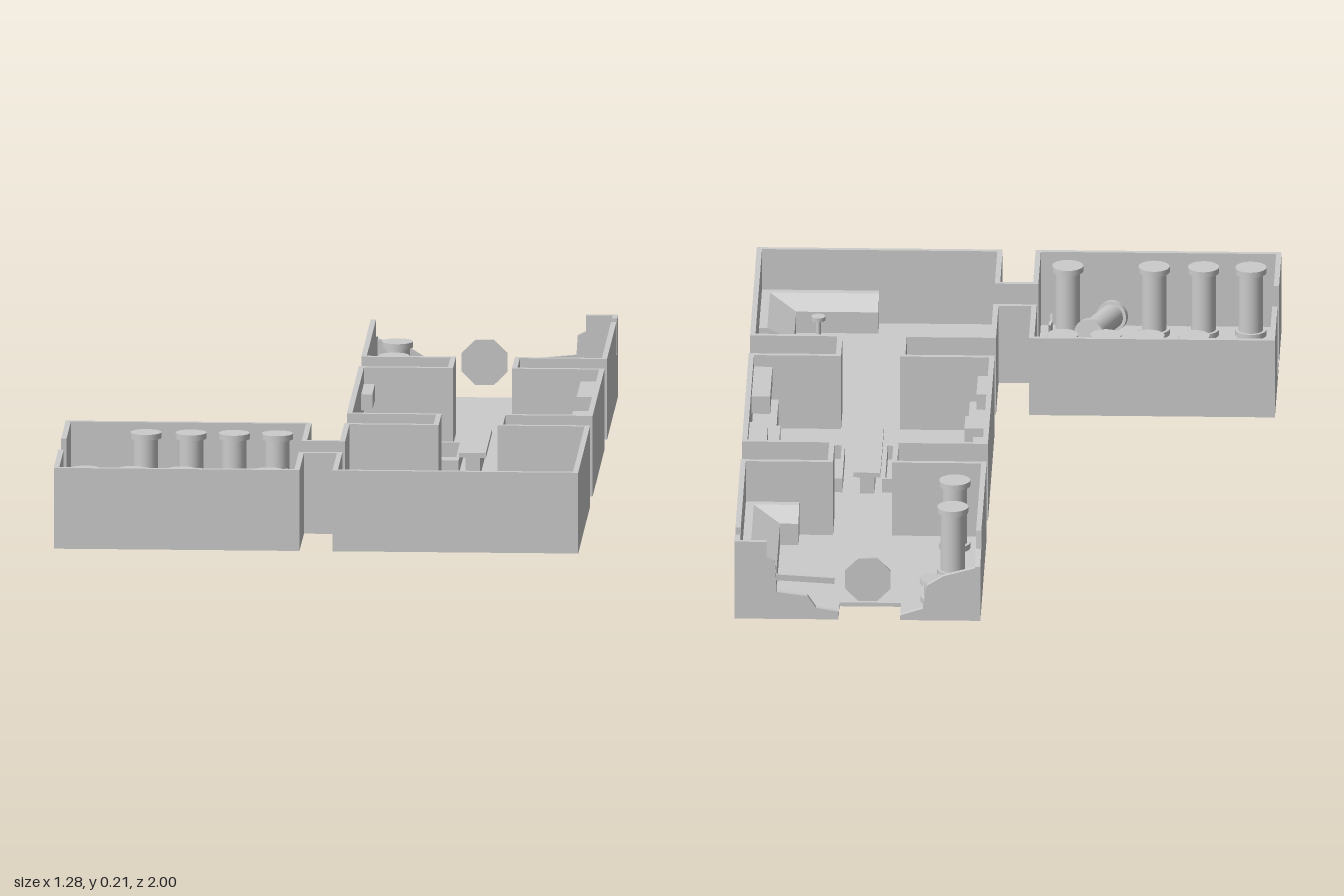
import * as THREE from 'three';

const FLOOR = 0.01, TOP = 0.2, T = 0.013;
const mat = new THREE.MeshStandardMaterial({ color: 0xcccccc });

export function createModel() {
  const model = new THREE.Group();
  model.name = 'roomComplex';

  const add = (name, geo, parent = model) => {
    const m = new THREE.Mesh(geo, mat);
    m.name = name;
    parent.add(m);
    return m;
  };
  // Box given by its limits on each axis
  const box = (name, x0, x1, y0, y1, z0, z1, parent) => {
    const m = add(name, new THREE.BoxGeometry(x1 - x0, y1 - y0, z1 - z0), parent);
    m.position.set((x0 + x1) / 2, (y0 + y1) / 2, (z0 + z1) / 2);
    return m;
  };
  const cyl = (name, r, h, x, y, z, parent, sides = 24) => {
    const m = add(name, new THREE.CylinderGeometry(r, r, h, sides), parent);
    m.position.set(x, y + h / 2, z);
    return m;
  };

  // Walls running along one axis, split by an optional [from, to] gap
  const spans = (a, b, gap) => (gap ? [[a, gap[0]], [gap[1], b]] : [[a, b]]);
  const wallX = (z, a, b, gap) => spans(a, b, gap).forEach(([p, q]) => box('wall', p, q, 0, TOP, z, z + T));
  const wallZ = (x, a, b, gap) => spans(a, b, gap).forEach(([p, q]) => box('wall', x, x + T, 0, TOP, p, q));

  // Rooms
  const X0 = 0.04, X1 = 0.638;
  const doorX = [0.27, 0.413], doorZ = [0.63, 0.768];
  const room = (x0, x1, z0, z1, { n, s, e, w }) => {
    box('floor', x0, x1, 0, FLOOR, z0, z1);
    wallX(z0, x0, x1, n);
    wallX(z1 - T, x0, x1, s);
    wallZ(x1 - T, z0 + T, z1 - T, e);
    wallZ(x0, z0 + T, z1 - T, w);
  };
  room(-0.638, -X0, 0.4, 1, { e: doorZ, w: [0.63, 0.77] });
  room(X0, X1, 0.4, 1, { n: doorX, w: doorZ });
  room(X0, X1, -0.32, 0.28, { n: doorX, s: doorX });

  // Corridors
  for (const [z0, z1] of [[0.28, 0.4], [-0.44, -0.32]]) {
    box('corridorFloor', 0.257, 0.426, 0, FLOOR, z0, z1);
    wallZ(0.257, z0, z1);
    wallZ(0.413, z0, z1);
  }
  box('corridorFloor', -X0, X0, 0, FLOOR, 0.617, 0.781);
  wallX(0.617, -X0, X0);
  wallX(0.768, -X0, X0);

  // Ruined back room: notched floor and broken walls
  box('floor', X0, X1, 0, FLOOR, -0.91, -0.44);
  box('floor', X0, 0.235, 0, FLOOR, -1, -0.91);
  box('floor', 0.385, X1, 0, FLOOR, -1, -0.91);
  wallX(-0.44 - T, X0, X1, doorX);
  const brokenWall = (points) => {
    const shape = new THREE.Shape(points.map(([u, v]) => new THREE.Vector2(u, v)));
    return new THREE.ExtrudeGeometry(shape, { depth: T, bevelEnabled: false });
  };
  add('brokenBackWall', brokenWall([[X0, 0], [0.235, 0], [0.235, 0.012], [0.18, 0.03], [0.17, 0.09],
    [0.13, 0.115], [X0, 0.14]])).position.z = -1;
  add('brokenBackWall', brokenWall([[0.385, 0], [X1, 0], [X1, TOP], [0.56, TOP], [0.56, 0.16], [0.54, 0.15],
    [0.535, 0.07], [0.46, 0.06], [0.44, 0.03], [0.385, 0.02]])).position.z = -1;
  const sideWall = (x, pts) => {
    const geo = brokenWall(pts.map(([z, y]) => [-z, y]).reverse());
    geo.rotateY(Math.PI / 2);
    add('brokenSideWall', geo).position.x = x;
  };
  sideWall(X1 - T, [[-1, 0], [-0.44, 0], [-0.44, TOP], [-0.905, TOP], [-0.905, 0.115], [-0.95, 0.115],
    [-0.95, TOP], [-1, TOP]]);
  sideWall(X0, [[-1, 0], [-0.44, 0], [-0.44, TOP], [-0.91, TOP], [-0.915, 0.155], [-0.95, 0.15], [-1, 0.14]]);

  // Blown-out hatch disc and loose bar in the breach
  const hatch = cyl('hatchDisc', 0.06, 0.006, 0.315, 0.085, -0.955, model, 8);
  hatch.rotation.set(Math.PI / 2, Math.PI / 8, 0);
  const bar = box('looseBar', 0.395, 0.54, 0.085, 0.1, -0.97, -0.963);
  bar.rotation.set(0, 0.06, 0.08);

  // Columns: shaft with a wide base and cap
  const column = (name, x, z) => {
    const g = new THREE.Group();
    g.name = name;
    cyl('base', 0.038, 0.014, 0, 0, 0, g);
    cyl('shaft', 0.03, 0.148, 0, 0.014, 0, g);
    cyl('cap', 0.038, 0.014, 0, 0.162, 0, g);
    g.position.set(x, FLOOR, z);
    model.add(g);
    return g;
  };
  for (const x of [-0.44, -0.33, -0.225, -0.12]) column('column', x, 0.465);
  for (const x of [-0.565, -0.45, -0.33, -0.12]) column('column', x, 0.933);
  for (const z of [-0.71, -0.53]) column('column', 0.115, z);

  // Fallen columns lie from one floor point to another, beside their bases
  const fallen = (x0, z0, x1, z1) => {
    const g = column('fallenColumn', x0, z0);
    g.position.y = FLOOR + 0.038;
    const dir = new THREE.Vector3(x1 - x0, 0.012, z1 - z0).normalize();
    g.quaternion.setFromUnitVectors(new THREE.Vector3(0, 1, 0), dir);
  };
  fallen(-0.588, 0.475, -0.495, 0.615);
  fallen(-0.23, 0.96, -0.175, 0.795);
  for (const [x, z] of [[-0.483, 0.617], [-0.18, 0.78]]) cyl('columnBase', 0.038, 0.014, x, FLOOR, z);

  // Broken stump
  cyl('stumpBase', 0.038, 0.014, 0.15, FLOOR, -0.895);
  cyl('stumpShaft', 0.03, 0.03, 0.15, 0.024, -0.895);
  cyl('stumpCap', 0.038, 0.012, 0.152, 0.054, -0.893).rotation.z = 0.1;

  // Splintered boards in the inner doorway
  for (const [tilt, turn, y] of [[0.5, 0.2, 0.08], [-0.5, -0.3, 0.08], [0.15, 0.5, 0.06]]) {
    const b = add('splinteredBoard', new THREE.BoxGeometry(0.005, 0.13, 0.014));
    b.position.set(-0.085, y, 0.7);
    b.rotation.set(tilt, turn, 0);
  }

  // Corner consoles with a sloping top, higher at the wall
  const consoleGeo = (depth, length) => {
    const s = new THREE.Shape();
    s.moveTo(-depth, FLOOR).lineTo(0, FLOOR).lineTo(0, 0.095).lineTo(-0.02, 0.095).lineTo(-depth, 0.065);
    return new THREE.ExtrudeGeometry(s, { depth: length, bevelEnabled: false });
  };
  const sideConsole = (z0, z1) => add('console', consoleGeo(0.085, z1 - z0)).position.set(X1 - T, 0, z0);
  const endConsole = (x0, z) => {
    const geo = consoleGeo(0.07, X1 - T - x0);
    geo.rotateY(-Math.PI / 2);
    add('console', geo).position.set(X1 - T, 0, z);
  };
  sideConsole(0.725, 0.987);
  endConsole(0.34, 0.987);
  sideConsole(-0.865, -0.453);
  endConsole(0.495, -0.453);
  cyl('stoolStem', 0.006, 0.05, 0.485, FLOOR, 0.875);
  cyl('stoolSeat', 0.018, 0.01, 0.485, 0.06, 0.875, model, 8);

  // Benches: a plank on two end panels, upright or tipped over
  const bench = (len, h, w, x, y, z, turn = 0, tip = 0) => {
    const g = new THREE.Group();
    g.name = 'bench';
    box('plank', -w / 2, w / 2, h - 0.008, h, -len / 2, len / 2, g);
    for (const s of [-1, 1]) {
      const c = s * (len / 2 - 0.005);
      box('endPanel', -w / 2, w / 2, 0, h - 0.008, c - 0.005, c + 0.005, g);
    }
    g.rotation.set(0, turn, tip, 'YXZ');
    g.position.set(x, y, z);
    model.add(g);
  };
  const H = Math.PI / 2;
  bench(0.125, 0.066, 0.036, 0.097, FLOOR, 0.518);
  bench(0.085, 0.066, 0.036, 0.59, FLOOR, 0.492, 0.4);
  bench(0.1, 0.068, 0.036, 0.503, FLOOR + 0.018, 0.635, 1.18, -H);
  bench(0.235, 0.062, 0.036, 0.24, FLOOR + 0.018, -0.045, 0, -H);
  bench(0.235, 0.062, 0.036, 0.46, FLOOR + 0.018, -0.045, 0, H);

  // Dining table
  box('tableTop', 0.305, 0.37, 0.06, 0.072, -0.19, 0.11);
  box('tablePedestal', 0.32, 0.355, FLOOR, 0.06, -0.17, 0.09);

  // Left-hand counter with wall cupboards
  box('counter', 0.565, X1 - T, FLOOR, 0.085, -0.307, 0.267);
  box('counterMiddle', 0.555, X1 - T, FLOOR, 0.095, -0.11, 0.065);
  for (const [z0, z1] of [[-0.307, -0.11], [0.065, 0.267]])
    box('wallCupboard', 0.58, X1 - T, 0.125, 0.17, z0, z1);

  // Right-hand counter with shelves, an appliance and bottles
  box('counter', X0 + T, 0.1, FLOOR, 0.085, -0.307, 0.267);
  for (const [z0, z1] of [[-0.3, -0.17], [0.12, 0.245]])
    box('wallShelf', X0 + T, 0.08, 0.12, 0.16, z0, z1);
  box('appliance', 0.055, 0.105, 0.085, 0.13, -0.035, 0.05);
  for (const z of [-0.098, -0.07, 0.09]) cyl('bottle', 0.006, 0.03, 0.077, 0.085, z, model, 10);

  return model;
}
